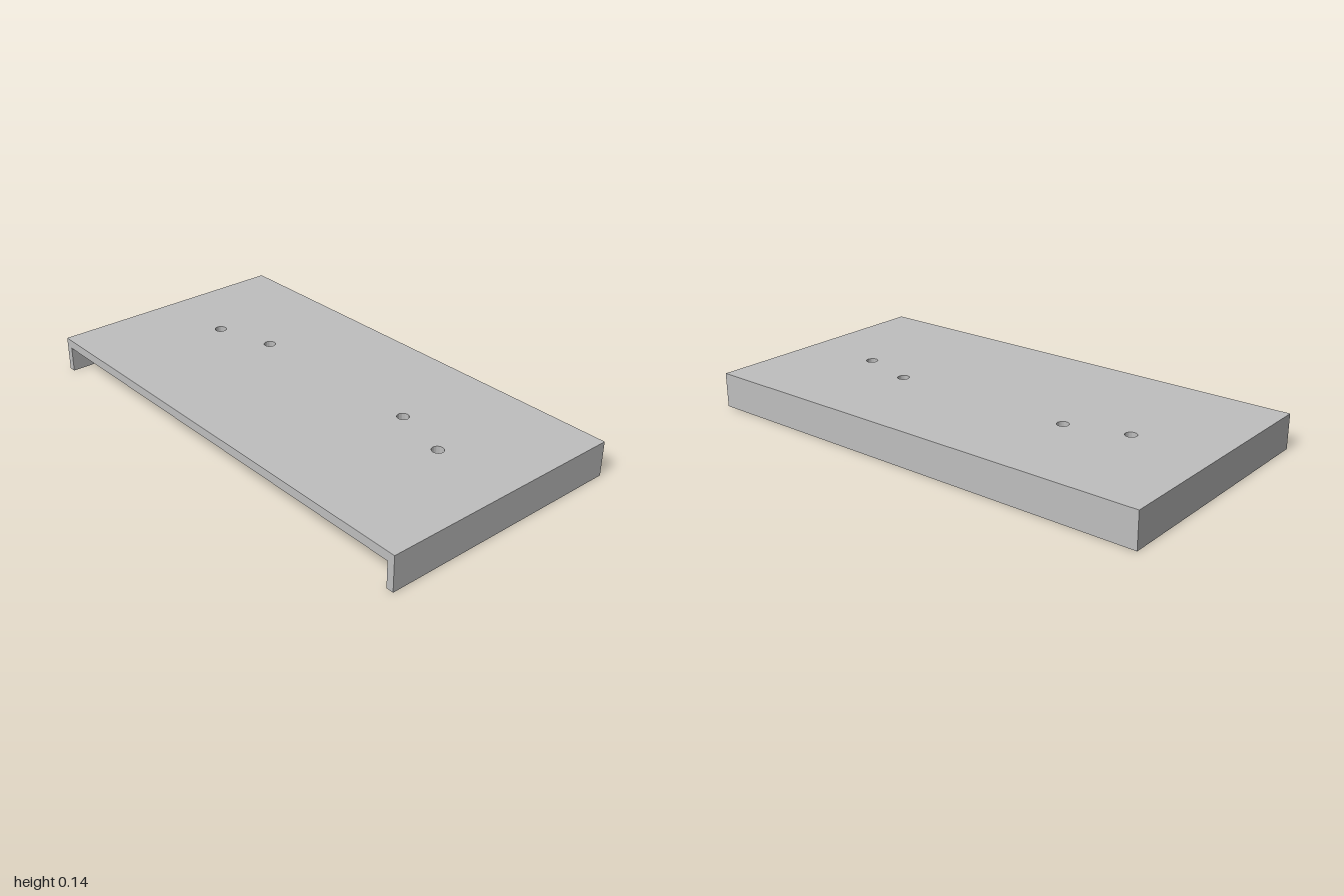
import * as THREE from 'three';
import { toCreasedNormals } from 'three/addons/utils/BufferGeometryUtils.js';

const W = 1, D = 0.523, H = 0.144; // half width, half depth, height
const WALL = 0.03, UNDER = 0.107;  // wall thickness, underside of the plate
const HOLE_R = 0.024, BOSS_R = 0.064;
const BOSS = { x: 0.65, z: -0.026 };
const PILOT = { x: 0.4, z: -0.097 };

// Plan outline from [x, z] points
function plan(points) {
  return new THREE.Shape(points.map(([x, z]) => new THREE.Vector2(x, -z)));
}

function circle(Type, x, z, r) {
  return new Type().absarc(x, -z, r, 0, Math.PI * 2, false);
}

// Extrude a plan outline upwards between two heights
function slab(shape, y0, y1) {
  const g = new THREE.ExtrudeGeometry(shape, { depth: y1 - y0, bevelEnabled: false, curveSegments: 24 });
  g.rotateX(-Math.PI / 2).translate(0, y0, 0);
  return toCreasedNormals(g, 0.6);
}

export function createModel() {
  const group = new THREE.Group();
  group.name = 'coverTray';
  const grey = new THREE.MeshStandardMaterial({ color: 0xbebebe });
  grey.name = 'grey';
  const add = (name, geometry) => {
    const mesh = new THREE.Mesh(geometry, grey);
    mesh.name = name;
    group.add(mesh);
  };

  // Top plate with four through holes
  const top = plan([[-W, D], [W, D], [W, -D], [-W, -D]]);
  for (const s of [-1, 1])
    for (const h of [BOSS, PILOT]) top.holes.push(circle(THREE.Path, s * h.x, h.z, HOLE_R));
  add('topPlate', slab(top, UNDER, H));

  // Skirt around the back and both sides, open at the front
  const i = W - WALL, b = -D + WALL;
  add('skirtWalls', slab(plan([[-W, D], [-i, D], [-i, b], [i, b], [i, D], [W, D], [W, -D], [-W, -D]]), 0, UNDER));

  // Hollow screw bosses under the plate
  for (const s of [-1, 1]) {
    const ring = circle(THREE.Shape, s * BOSS.x, BOSS.z, BOSS_R);
    ring.holes.push(circle(THREE.Path, s * BOSS.x, BOSS.z, HOLE_R));
    add(s > 0 ? 'leftBoss' : 'rightBoss', slab(ring, 0, UNDER));
  }
  return group;
}
